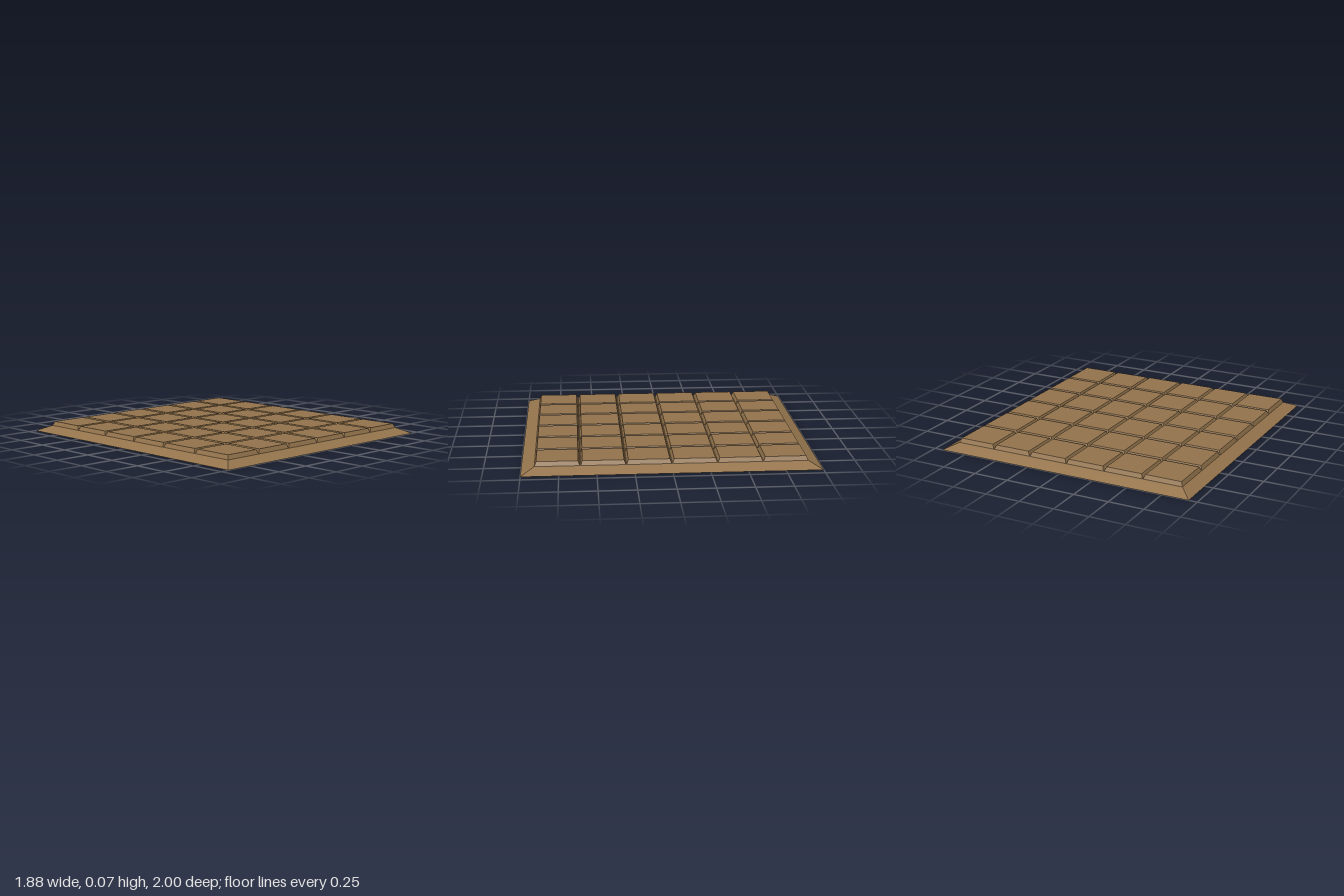
import * as THREE from 'three';

const COLUMNS = 6, ROWS = 6;
const BASE_HEIGHT = 0.04, TILE_HEIGHT = 0.03;
const FIELD_X = 1.712, FIELD_Z = 1.824; // area covered by the tiles

// Box standing on y = 0 whose top is drawn in by insetX and insetZ on each side
function taperedBox(width, height, depth, insetX, insetZ) {
  const geometry = new THREE.BoxGeometry(width, height, depth).toNonIndexed();
  geometry.translate(0, height / 2, 0);
  const p = geometry.attributes.position;
  for (let i = 0; i < p.count; i++) {
    if (p.getY(i) < height / 2) continue;
    p.setX(i, p.getX(i) - Math.sign(p.getX(i)) * insetX);
    p.setZ(i, p.getZ(i) - Math.sign(p.getZ(i)) * insetZ);
  }
  geometry.computeVertexNormals();
  return geometry;
}

export function createModel() {
  const model = new THREE.Group();
  model.name = 'chocolateBar';
  const chocolate = new THREE.MeshStandardMaterial({ color: 0x94744c, flatShading: true });

  // Slab with wide sloping edges
  const base = new THREE.Mesh(
    taperedBox(1.88, BASE_HEIGHT, 2, (1.88 - FIELD_X) / 2, (2 - FIELD_Z) / 2), chocolate);
  base.name = 'base';
  model.add(base);

  // Bevelled squares, meeting in V-shaped grooves
  const squares = new THREE.Group();
  squares.name = 'squares';
  const stepX = FIELD_X / COLUMNS, stepZ = FIELD_Z / ROWS;
  const squareGeometry = taperedBox(stepX - 0.004, TILE_HEIGHT, stepZ - 0.004, 0.012, 0.012);
  for (let row = 0; row < ROWS; row++) {
    for (let column = 0; column < COLUMNS; column++) {
      const square = new THREE.Mesh(squareGeometry, chocolate);
      square.name = `square_${row + 1}_${column + 1}`;
      square.position.set(
        (column - (COLUMNS - 1) / 2) * stepX, BASE_HEIGHT, (row - (ROWS - 1) / 2) * stepZ);
      squares.add(square);
    }
  }
  model.add(squares);
  return model;
}
